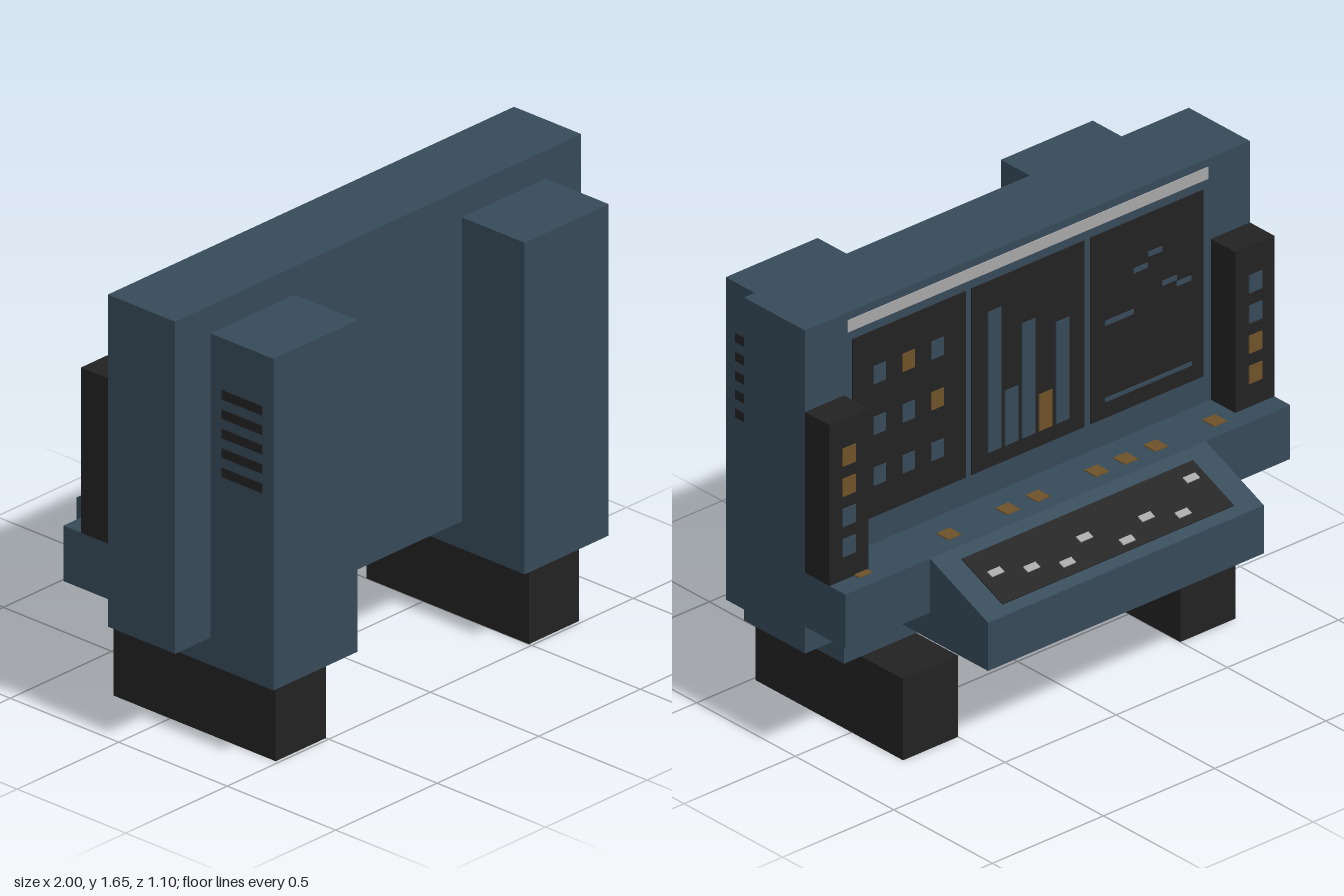
import * as THREE from 'three';

export function createModel() {
  const model = new THREE.Group();
  model.name = 'controlConsole';

  const mat = (name, color) => {
    const m = new THREE.MeshStandardMaterial({ color });
    m.name = name;
    return m;
  };
  const steel = mat('steelBlue', 0x364a58);
  const black = mat('black', 0x222222);
  const amber = mat('amber', 0x6e5229);
  const grey = mat('lightGrey', 0xa6a6a6);

  // Box given by its ranges along x, y and z
  const box = (name, m, [x0, x1], [y0, y1], [z0, z1], parent = model) => {
    const mesh = new THREE.Mesh(new THREE.BoxGeometry(x1 - x0, y1 - y0, z1 - z0), m);
    mesh.position.set((x0 + x1) / 2, (y0 + y1) / 2, (z0 + z1) / 2);
    mesh.name = name;
    parent.add(mesh);
    return mesh;
  };
  const span = (c, size) => [c - size / 2, c + size / 2];

  // Main cabinet
  const BACK = -0.05;
  box('cabinet', steel, [-1, 1], [0.415, 1.655], [BACK, 0.26]);

  // Paired columns, feet, vents and side towers
  for (const s of [-1, 1]) {
    const pair = (a, b) => (s > 0 ? [a, b] : [-b, -a]);
    box('column', steel, pair(0.412, 0.825), [0.312, 1.55], [BACK, 0.55]);
    box('foot', black, pair(0.5, 0.747), [0, 0.312], [-0.262, 0.487]);
    for (let i = 0; i < 5; i++) {
      box('ventSlot', black, pair(0.82, 0.828), span(1.05 + i * 0.0725, 0.035), [0.313, 0.5]);
    }
    box('sideTower', black, pair(0.825, 1), [0.725, 1.342], [-0.174, BACK]);
    for (let i = 0; i < 4; i++) {
      const lit = s > 0 ? i < 2 : i >= 2;
      box('towerLight', lit ? amber : steel, span(s * 0.914, 0.058),
        span(1.197 - i * 0.116, 0.068), [-0.178, -0.172]);
    }
  }

  // Shelf with its row of keys
  box('shelf', steel, [-1, 1], [0.518, 0.725], [-0.255, BACK]);
  for (const x of [-0.735, -0.47, -0.335, -0.205, 0.06, 0.195, 0.46, 0.86]) {
    box('shelfKey', amber, span(x, 0.058), [0.722, 0.729], span(-0.17, 0.06));
  }

  // Sloping desk, extruded across x from its side profile
  const profile = new THREE.Shape([[0.04, 0.415], [0.55, 0.415], [0.55, 0.6], [0.255, 0.725], [0.04, 0.725]]
    .map(([d, y]) => new THREE.Vector2(d, y)));
  const deskGeometry = new THREE.ExtrudeGeometry(profile, { depth: 1.24, bevelEnabled: false });
  deskGeometry.translate(0, 0, -0.62).rotateY(Math.PI / 2);
  const desk = new THREE.Mesh(deskGeometry, steel);
  desk.name = 'desk';
  model.add(desk);

  // Keyboard plate lying on the slope
  const slope = Math.atan2(0.125, 0.295);
  const keyboard = new THREE.Group();
  keyboard.name = 'keyboard';
  keyboard.position.set(0, 0.6625, -0.4025);
  keyboard.rotation.x = -slope;
  model.add(keyboard);
  const along = (z) => (z + 0.4025) / Math.cos(slope);
  box('keyboardPlate', black, [-0.52, 0.52], [-0.004, 0.004], [along(-0.51), along(-0.302)], keyboard);
  [-0.36, -0.465, -0.425, -0.475, -0.405, -0.465, -0.43, -0.395].forEach((z, i) => {
    box('keyboardKey', grey, span(-0.46 + i * 0.13, 0.055), [0.001, 0.008], span(along(z), 0.027), keyboard);
  });

  // Back wall: light strip and three screens
  const plate = (name, m, xs, ys) => box(name, m, xs, ys, [BACK - 0.004, BACK + 0.002]);
  const mark = (name, m, xs, ys) => box(name, m, xs, ys, [BACK - 0.008, BACK - 0.002]);
  plate('lightStrip', grey, [-0.81, 0.81], [1.58, 1.625]);
  for (const x of [-0.535, 0, 0.535]) plate('screen', black, span(x, 0.508), [0.83, 1.545]);

  // Indicator grid
  for (let row = 0; row < 3; row++) {
    for (let col = 0; col < 3; col++) {
      const lit = (row === 0 && col === 1) || (row === 1 && col === 2);
      mark('indicator', lit ? amber : steel, span(0.67 - col * 0.13, 0.055), span(1.375 - row * 0.195, 0.068));
    }
  }

  // Bar chart
  [1.43, 1.1, 1.33, 1.03, 1.28].forEach((top, i) => {
    mark('chartBar', i === 3 ? amber : steel, span(0.153 - i * 0.0765, 0.06), [0.89, top]);
  });

  // Stepped trace above a base line
  [1.195, 1.195, 1.35, 1.39, 1.255, 1.23].forEach((y, i) => {
    mark('traceStep', steel, span(-0.375 - i * 0.0645, 0.064), span(y, 0.018));
  });
  mark('traceBaseLine', steel, [-0.733, -0.344], span(0.9, 0.014));

  return model;
}
